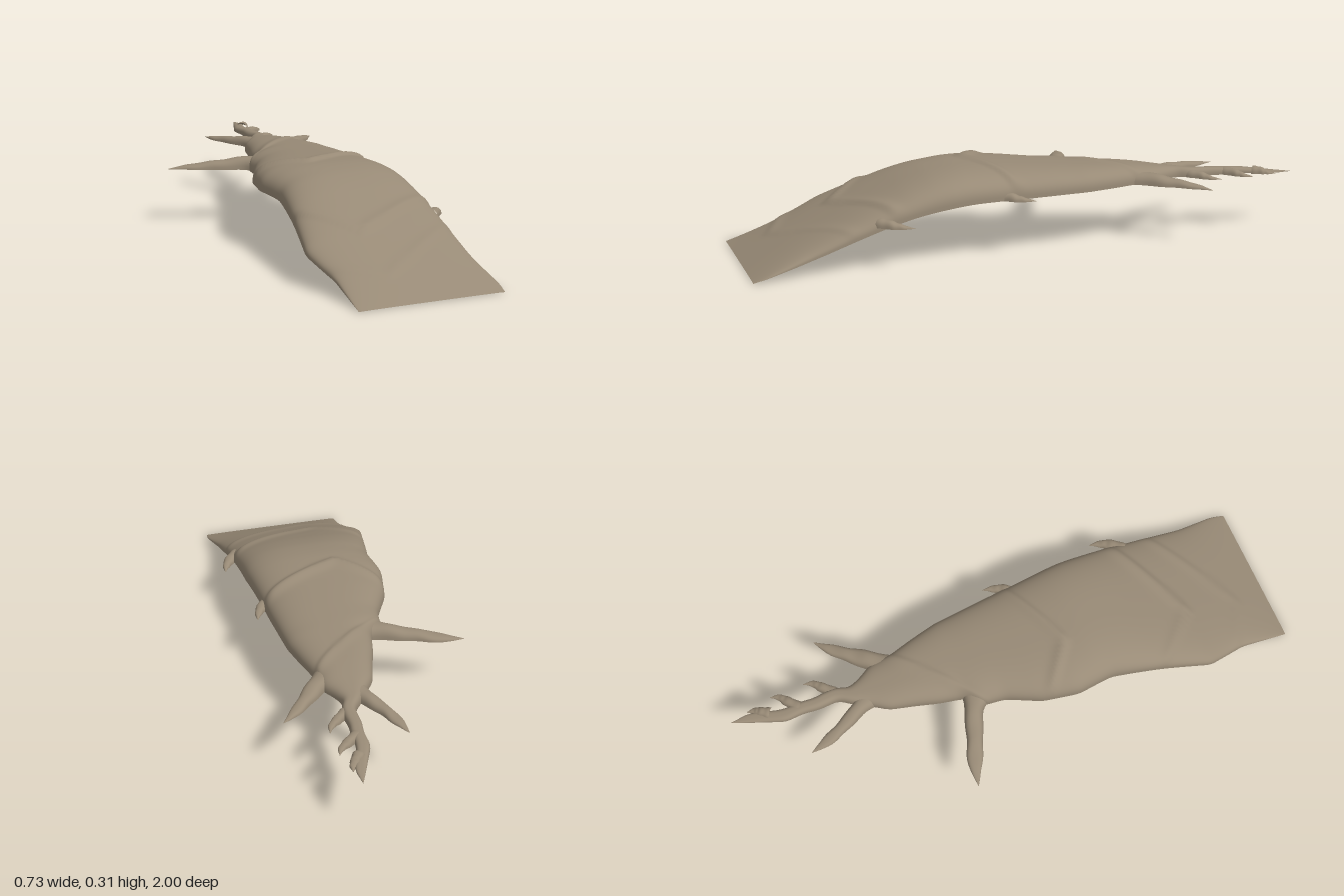
import * as THREE from 'three';

const bark = new THREE.MeshStandardMaterial({ color: 0x988a76, side: THREE.DoubleSide });
bark.name = 'dull brown bark';

// Interpolate [position, value] pairs, softened by a moving average
const lerpTable = (table, z) => {
  let i = 0;
  while (i < table.length - 2 && z < table[i + 1][0]) i++;
  const [z0, v0] = table[i], [z1, v1] = table[i + 1];
  return v0 + (v1 - v0) * (z - z0) / (z1 - z0);
};
const sample = (table, z, width) => {
  const w = Math.min(width, 1 - Math.abs(z));
  let sum = 0;
  for (let k = -3; k <= 3; k++) sum += lerpTable(table, z + w * k / 3);
  return sum / 7;
};

// Open shell surface from a grid of points
function shell(name, rows, cols, pointAt) {
  const positions = [], index = [];
  for (let i = 0; i <= rows; i++) {
    for (let j = 0; j <= cols; j++) positions.push(...pointAt(i / rows, j / cols));
  }
  for (let i = 0; i < rows; i++) {
    for (let j = 0; j < cols; j++) {
      const a = i * (cols + 1) + j, c = a + cols + 1;
      index.push(a, c, a + 1, a + 1, c, c + 1);
    }
  }
  const geometry = new THREE.BufferGeometry();
  geometry.setAttribute('position', new THREE.Float32BufferAttribute(positions, 3));
  geometry.setIndex(index);
  geometry.computeVertexNormals();
  const mesh = new THREE.Mesh(geometry, bark);
  mesh.name = name;
  return mesh;
}

// Rounded arch: side offset and height, both as fractions
const arch = (v, power) => {
  const c = Math.cos(v * Math.PI), s = Math.max(0, Math.sin(v * Math.PI));
  return [Math.sign(c) * Math.abs(c) ** power, s ** power];
};

// Body outline and profile as [z, value]
const leftEdge = [[1, 0.295], [0.95, 0.302], [0.8, 0.287], [0.55, 0.286], [0.3, 0.286], [0.1, 0.27],
  [0, 0.265], [-0.2, 0.25], [-0.3, 0.228], [-0.4, 0.202], [-0.47, 0.2], [-0.52, 0.17], [-0.57, 0.15],
  [-0.61, 0.168], [-0.65, 0.17], [-0.7, 0.165], [-0.75, 0.172], [-0.79, 0.17], [-0.83, 0.175],
  [-0.88, 0.192], [-0.93, 0.207], [-1, 0.2]];
const rightEdge = [[1, -0.23], [0.82, -0.225], [0.67, -0.257], [0.5, -0.22], [0.3, -0.183], [0.17, -0.197],
  [0.04, -0.17], [-0.08, -0.11], [-0.16, -0.1], [-0.21, -0.05], [-0.3, -0.03], [-0.38, -0.005],
  [-0.47, 0.02], [-0.52, 0.055], [-0.58, 0.09], [-0.62, 0.122], [-0.7, 0.12], [-0.75, 0.128],
  [-0.82, 0.125], [-0.88, 0.15], [-0.93, 0.17], [-1, 0.2]];
const bottom = [[1, 0], [0.8, 0.055], [0.6, 0.125], [0.5, 0.157], [0.4, 0.182], [0.25, 0.202], [-1, 0.202]];
const top = [[1, 0.002], [0.8, 0.1], [0.6, 0.194], [0.5, 0.236], [0.4, 0.275], [0.3, 0.297], [0.2, 0.301],
  [0.05, 0.292], [-0.2, 0.276], [-0.4, 0.262], [-0.5, 0.246], [-0.6, 0.234], [-0.8, 0.224], [-1, 0.203]];

// Folded growth ridges: [x, z] bends and height
const ridges = [
  { line: [[-0.2, 0.05], [-0.02, 0.195], [0.29, 0.06]], lift: 0.011 },
  { line: [[-0.2, 0.52], [-0.05, 0.67], [0.29, 0.5]], lift: 0.009 },
  { line: [[-0.2, 0.81], [-0.06, 0.88], [0.29, 0.65]], lift: 0.005 },
  { line: [[-0.1, -0.15], [0.03, -0.25], [0.22, -0.42]], lift: 0.006 },
];
const ridgeLift = (x, z) => ridges.reduce((sum, { line, lift }) => {
  const d = z - lerpTable(line.map(([px, pz]) => [-px, pz]), -x);
  return sum + lift * Math.exp(-((d / (d > 0 ? 0.013 : 0.03)) ** 2));
}, 0);

// Half-round tapering branch: points are [x, z, half width]
function branch(name, points, base, height) {
  const curve = new THREE.CatmullRomCurve3(points.map(([x, z, w]) => new THREE.Vector3(x, w, z)));
  return shell(name, 24, 12, (u, v) => {
    const p = curve.getPoint(u), d = curve.getTangent(u);
    const length = Math.hypot(d.x, d.z);
    const [side, up] = arch(v, 0.85);
    const w = Math.max(0, p.y) * (1 + 0.06 * Math.sin(u * 21));
    const rise = height * Math.min(1, 1.25 * (1 - u)) * (1 + 0.05 * Math.sin(u * 26));
    return [p.x - d.z / length * w * side, base + rise * up, p.z + d.x / length * w * side];
  });
}

export function createModel() {
  const group = new THREE.Group();
  group.name = 'hollowBarkShell';

  // Arched trunk running into the crooked tip
  group.add(shell('trunk', 200, 44, (u, v) => {
    const z = 1 - 2 * u;
    const l = sample(leftEdge, z, 0.018), r = sample(rightEdge, z, 0.018);
    const b = sample(bottom, z, 0.06), t = sample(top, z, 0.06);
    const [side, up] = arch(v, 0.73);
    const x = (l + r) / 2 + (l - r) / 2 * side;
    const fade = Math.min(1, up * 1.5) * Math.min(1, (1 - z) * 6);
    return [x, b + (t - b) * up + ridgeLift(x, z) * fade, z];
  }));

  // Large side branches
  group.add(
    branch('rightArm', [[-0.02, -0.14, 0.075], [-0.1, -0.195, 0.036], [-0.2, -0.235, 0.03], [-0.29, -0.272, 0.024], [-0.366, -0.292, 0]], 0.202, 0.045),
    branch('rightHorn', [[0.1, -0.5, 0.045], [0.065, -0.57, 0.028], [0.025, -0.65, 0.022], [-0.002, -0.72, 0.018], [-0.018, -0.78, 0]], 0.202, 0.035),
    branch('leftHorn', [[0.14, -0.4, 0.06], [0.215, -0.46, 0.036], [0.27, -0.525, 0.026], [0.325, -0.585, 0.016], [0.366, -0.622, 0]], 0.202, 0.04),
  );

  // Twigs along the crooked tip
  const twigs = [[0.15, -0.62, 0.232, -0.715], [0.15, -0.755, 0.233, -0.84], [0.175, -0.86, 0.214, -0.935]];
  for (const [x0, z0, x1, z1] of twigs) {
    group.add(branch('tipTwig', [[x0, z0, 0.022], [x0 * 0.45 + x1 * 0.55, z0 * 0.6 + z1 * 0.4, 0.017],
      [x0 * 0.15 + x1 * 0.85, z0 * 0.35 + z1 * 0.65, 0.011], [x1, z1, 0]], 0.202, 0.024));
  }

  // Thorns at the ends of the ridges
  for (const [x, z, base] of [[0.306, 0.012, 0.202], [0.331, 0.45, 0.15]]) {
    group.add(branch('edgeThorn', [[x - 0.07, z + 0.11, 0.025], [x - 0.03, z + 0.07, 0.02],
      [x - 0.01, z + 0.035, 0.012], [x, z, 0]], base, 0.027));
  }
  return group;
}
